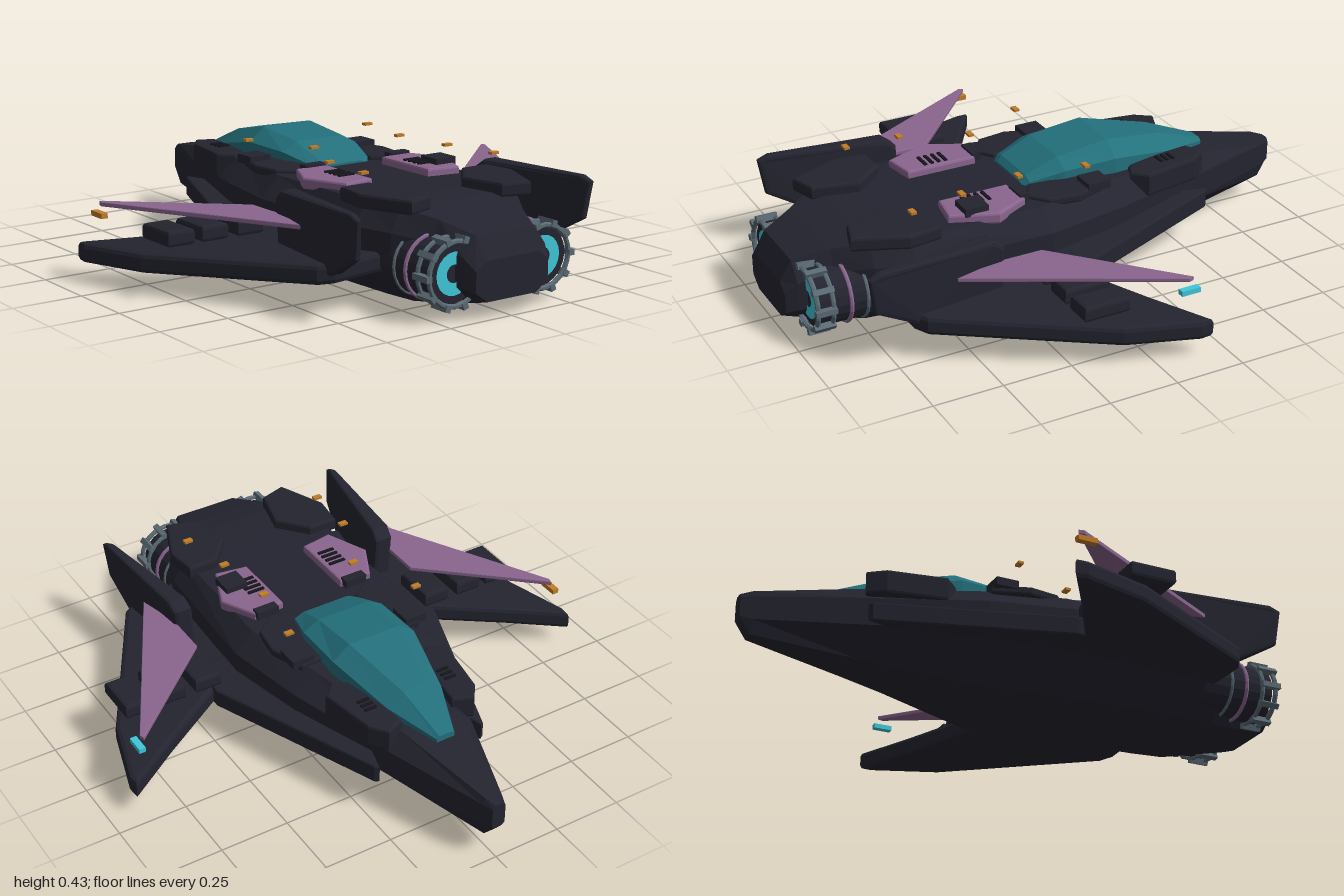
import * as THREE from 'three';

const paint = (name, color) => {
  const m = new THREE.MeshStandardMaterial({ color });
  m.name = name;
  m.flatShading = true;
  return m;
};

// Octagonal cross-section, counter-clockwise seen from +z
const octagon = ([z, w, top, bottom, y0, y1, lo, hi]) => [
  [w, lo, z], [w, hi, z], [top, y1, z], [-top, y1, z],
  [-w, hi, z], [-w, lo, z], [-bottom, y0, z], [bottom, y0, z],
];

// Skin joining cross-sections ordered by rising z, closed at both ends
function loft(rings) {
  const pos = [];
  const tri = (...p) => p.forEach((v) => pos.push(...v));
  const n = rings[0].length;
  for (let s = 0; s < rings.length - 1; s++) {
    const a = rings[s], b = rings[s + 1];
    for (let i = 0; i < n; i++) {
      const j = (i + 1) % n;
      tri(a[i], a[j], b[j]);
      tri(a[i], b[j], b[i]);
    }
  }
  const first = rings[0], last = rings[rings.length - 1];
  for (let i = 1; i < n - 1; i++) {
    tri(first[0], first[i + 1], first[i]);
    tri(last[0], last[i], last[i + 1]);
  }
  const g = new THREE.BufferGeometry();
  g.setAttribute('position', new THREE.Float32BufferAttribute(pos, 3));
  g.computeVertexNormals();
  return g;
}

// Bevelled plate from an outline of [x, z] points, lying between y0 and y1
function slab(points, y0, y1, bevel) {
  const shape = new THREE.Shape(points.map(([x, z]) => new THREE.Vector2(x, z)));
  const g = new THREE.ExtrudeGeometry(shape, {
    depth: y1 - y0 - 2 * bevel, bevelEnabled: bevel > 0, bevelThickness: bevel,
    bevelSize: bevel, bevelOffset: -bevel, bevelSegments: 2,
  });
  return g.rotateX(Math.PI / 2).translate(0, y1 - bevel, 0);
}

// Move every vertex by a rule
function warp(g, rule) {
  const p = g.attributes.position, v = new THREE.Vector3();
  for (let i = 0; i < p.count; i++) {
    rule(v.fromBufferAttribute(p, i));
    p.setXYZ(i, v.x, v.y, v.z);
  }
  g.computeVertexNormals();
  return g;
}

export function createModel() {
  const model = new THREE.Group();
  model.name = 'spacecraft';
  const dark = paint('dark hull', 0x242430);
  const glass = paint('teal glass', 0x23707c);
  const mauve = paint('mauve panel', 0x8a668f);
  const steel = paint('steel', 0x5a6a74);
  const cyan = paint('cyan glow', 0x40c8da);
  const amber = paint('amber light', 0xc07c28);
  const black = paint('black vent', 0x15151c);

  const add = (name, geometry, material, parent = model) => {
    const mesh = new THREE.Mesh(geometry, material);
    mesh.name = name;
    parent.add(mesh);
    return mesh;
  };
  const box = (name, size, at, material, parent) =>
    add(name, new THREE.BoxGeometry(...size).translate(...at), material, parent);

  // Hull: z, half width, top half width, bottom half width, bottom, top, chine low, chine high
  add('hull', loft([
    [-1, 0.025, 0.015, 0.015, 0.14, 0.235, 0.15, 0.22],
    [-0.96, 0.04, 0.03, 0.025, 0.09, 0.248, 0.14, 0.225],
    [-0.6, 0.165, 0.11, 0.08, 0.05, 0.3, 0.14, 0.24],
    [-0.2, 0.29, 0.21, 0.15, 0.005, 0.333, 0.15, 0.26],
    [0.1, 0.35, 0.28, 0.19, 0.005, 0.338, 0.16, 0.265],
    [0.6, 0.33, 0.28, 0.19, 0.017, 0.34, 0.16, 0.265],
    [0.73, 0.28, 0.24, 0.18, 0.02, 0.338, 0.14, 0.26],
    [0.84, 0.2, 0.17, 0.14, 0.035, 0.31, 0.12, 0.24],
    [0.96, 0.17, 0.12, 0.11, 0.055, 0.275, 0.11, 0.21],
    [1, 0.15, 0.11, 0.1, 0.065, 0.2, 0.1, 0.17],
  ].map(octagon)), dark);

  // Canopy
  add('canopy', loft([
    [-0.69, 0.035, 0.025, 0.03, 0.27, 0.31, 0.28, 0.3],
    [-0.5, 0.11, 0.05, 0.1, 0.28, 0.383, 0.3, 0.335],
    [-0.25, 0.165, 0.1, 0.15, 0.3, 0.435, 0.33, 0.385],
    [-0.05, 0.16, 0.1, 0.15, 0.3, 0.412, 0.33, 0.38],
    [0.07, 0.125, 0.09, 0.12, 0.3, 0.365, 0.33, 0.35],
    [0.09, 0.11, 0.08, 0.1, 0.3, 0.345, 0.32, 0.335],
  ].map(octagon)), glass);

  for (const s of [1, -1]) {
    const side = new THREE.Group();
    side.name = s > 0 ? 'leftSide' : 'rightSide';
    model.add(side);
    const flip = (pts) => pts.map(([x, z]) => [s * x, z]);
    const plate = (name, pts, y0, y1, bevel, material) =>
      add(name, slab(flip(pts), y0, y1, bevel, s), material, side);

    // Forward-swept drooping wing and the strake ahead of it
    const droop = (v) => { v.y -= 0.09 * (Math.abs(v.x) - 0.35); };
    const wing = plate('wing', [[0.22, 0.15], [0.46, 0.07], [0.7, -0.07], [0.9, -0.195],
      [0.905, -0.15], [0.83, 0.1], [0.51, 0.65], [0.46, 0.68], [0.22, 0.7]], 0.118, 0.187, 0.016, dark);
    warp(wing.geometry, droop);
    const strake = plate('strake', [[0.205, -0.61], [0.22, -0.6], [0.46, 0.05], [0.46, 0.2],
      [0.15, 0.2], [0.15, -0.4]], 0.12, 0.19, 0.007, dark);
    warp(strake.geometry, droop);

    // Upright fin, toed out and leaning outward
    const fin = new THREE.Shape([[0.34, 0.13], [0.34, 0.33], [0.38, 0.36], [0.8, 0.366],
      [0.84, 0.35], [0.82, 0.22], [0.66, 0.13]].map((p) => new THREE.Vector2(...p)));
    const finGeo = new THREE.ExtrudeGeometry(fin, {
      depth: 0.045, bevelThickness: 0.014, bevelSize: 0.014, bevelOffset: -0.014, bevelSegments: 2,
    }).translate(0, 0, -0.0225).rotateY(-Math.PI / 2);
    warp(finGeo, (v) => {
      const taper = 1 - 0.7 * Math.max(0, (v.z - 0.62) / 0.22);
      v.x = v.x * taper + s * (0.42 + 0.12 * (v.z - 0.34) + 0.06 * (v.y - 0.25));
    });
    add('fin', finGeo, dark, side);

    // Mauve panel floating over the wing
    plate('wingPanel', [[0.84, -0.15], [0.845, -0.13], [0.49, 0.53], [0.45, 0.37], [0.45, 0.2]],
      0.262, 0.278, 0.003, mauve);

    // Pods along the wing
    for (const x of [0.48, 0.62, 0.75])
      plate('wingPod', [[x - 0.05, 0.065], [x + 0.05, 0.065], [x + 0.05, 0.23], [x - 0.05, 0.23]],
        0.183, 0.238, 0.012, dark);

    // Deck plates
    plate('rearDeckPlate', [[0.2, 0.5], [0.31, 0.5], [0.325, 0.62], [0.25, 0.8], [0.15, 0.77], [0.11, 0.61]],
      0.325, 0.376, 0.01, dark);
    plate('midDeckPlate', [[0.12, 0.16], [0.24, 0.15], [0.27, 0.21], [0.305, 0.28], [0.24, 0.44], [0.12, 0.42]],
      0.325, 0.366, 0.008, mauve);
    plate('shoulderPlate', [[0.15, -0.17], [0.24, -0.17], [0.285, -0.04], [0.27, 0.07], [0.2, 0.13], [0.13, 0.08]],
      0.32, 0.352, 0.008, dark);
    plate('foreDeckPlate', [[0.1, -0.58], [0.17, -0.61], [0.215, -0.55], [0.25, -0.34], [0.2, -0.29], [0.13, -0.32]],
      0.25, 0.338, 0.01, dark);

    // Cooling slots on the mauve plate
    for (let i = 0; i < 4; i++)
      box('ventSlot', [0.065, 0.008, 0.011], [s * 0.17, 0.368, 0.265 + i * 0.026], black, side);
    for (let i = 0; i < 3; i++)
      box('foreVentSlot', [0.045, 0.008, 0.011], [s * 0.16, 0.34, -0.48 + i * 0.024], black, side);

    // Engine with rings, clamps and glow
    const engine = new THREE.Group();
    engine.name = 'engine';
    engine.position.set(s * 0.185, 0.157, 0);
    side.add(engine);
    add('nozzle', new THREE.CylinderGeometry(0.1, 0.105, 0.28, 20)
      .rotateX(Math.PI / 2).translate(0, 0, 0.79), dark, engine);
    const ring = (name, r, tube, z, material) =>
      add(name, new THREE.TorusGeometry(r, tube, 6, 24).translate(0, 0, z), material, engine);
    ring('frontBand', 0.104, 0.006, 0.76, steel);
    ring('mauveBand', 0.106, 0.007, 0.82, mauve);
    ring('innerRing', 0.108, 0.008, 0.885, steel);
    ring('outerRing', 0.106, 0.009, 0.94, steel);
    add('glow', new THREE.RingGeometry(0.03, 0.072, 20).translate(0, 0, 0.935), cyan, engine);
    for (let i = 0; i < 10; i++) {
      const clamp = box('clamp', [0.02, 0.022, 0.075], [0, 0.113, 0.915], steel, engine);
      clamp.rotation.z = (i + 0.5) * Math.PI / 5;
    }

    // Wing tip light
    box('tipLight', [0.024, 0.018, 0.07], [s * 0.853, 0.237, -0.128], s > 0 ? cyan : amber, side);
  }

  // Small equipment boxes on the deck
  for (const [x, y, z] of [[0.23, 0.355, -0.125], [-0.23, 0.355, -0.125], [0.225, 0.372, 0.345],
    [0.195, 0.36, 0.15], [-0.17, 0.36, 0.15]])
    box('equipmentBox', [0.085, 0.03, z > 0.1 && z < 0.2 ? 0.035 : 0.085], [x, y, z], dark);

  // Hovering marker lights
  for (const [x, z] of [[-0.28, -0.085], [0.24, -0.085], [-0.17, 0.155], [0.2, 0.155],
    [-0.27, 0.385], [0.23, 0.385], [-0.28, 0.585], [0.27, 0.585]])
    box('markerLight', [0.032, 0.009, 0.02], [x, 0.432, z], amber);

  return model;
}
